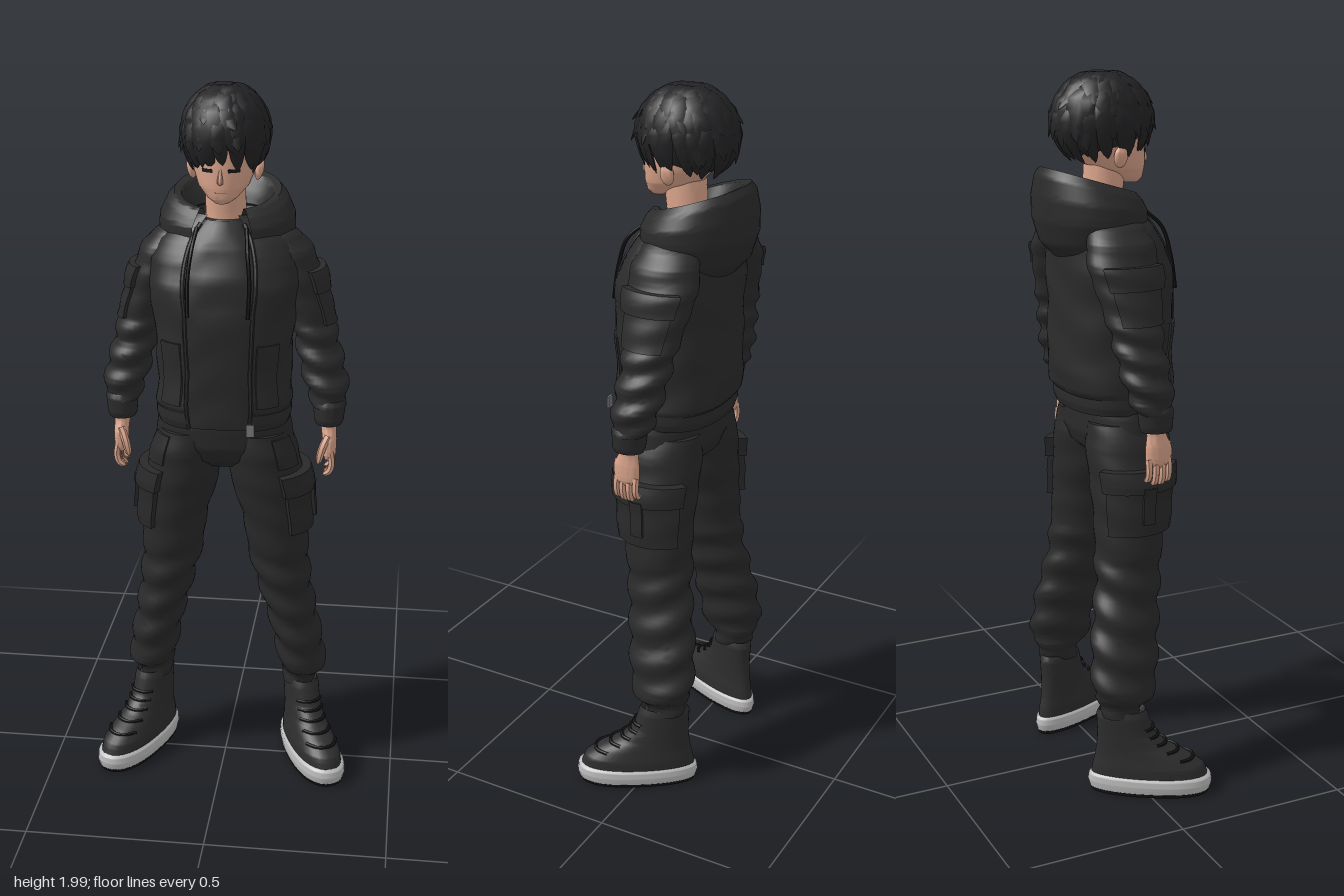
import * as THREE from 'three';
import { mergeGeometries, toCreasedNormals } from 'three/addons/utils/BufferGeometryUtils.js';

const V = (x, y, z) => new THREE.Vector3(x, y, z);
const rad = THREE.MathUtils.degToRad;
const mat = (name, color, side = THREE.FrontSide) => {
  const m = new THREE.MeshStandardMaterial({ color, side });
  m.name = name;
  return m;
};

// Indexed grid of points f(i, j); j runs around, i runs upward
function grid(nu, nv, closed, f) {
  const pos = [], idx = [], cols = closed ? nv : nv + 1;
  for (let i = 0; i <= nu; i++)
    for (let j = 0; j < cols; j++) pos.push(...f(i, j).toArray());
  for (let i = 0; i < nu; i++)
    for (let j = 0; j < nv; j++) {
      const k = (j + 1) % cols, a = i * cols + j, b = i * cols + k;
      idx.push(a, a + cols, b, b, a + cols, b + cols);
    }
  const g = new THREE.BufferGeometry();
  g.setAttribute('position', new THREE.Float32BufferAttribute(pos, 3));
  g.setIndex(idx);
  return g;
}

// Body surface from rows [y, cx, cz, rx, rz, tilt]; fold(y, a) adds cloth folds
function surface(rows, { p = 1, fold = () => 0 } = {}) {
  const pw = (v) => Math.sign(v) * Math.abs(v) ** p;
  const s = (u, a, off = 0) => {
    const i = Math.max(0, Math.min(rows.length - 2, Math.floor(u)));
    const [y, cx, cz, rx, rz, tilt] = [0, 1, 2, 3, 4, 5].map((k) =>
      THREE.MathUtils.lerp(rows[i][k] ?? 0, rows[i + 1][k] ?? 0, u - i));
    const o = off === null ? 0 : off + fold(y, a), on = off === null ? 0 : 1;
    const dz = on * (rz + o) * pw(Math.sin(a));
    return V(cx + on * (rx + o) * pw(Math.cos(a)), y + tilt * dz, cz + dz);
  };
  s.n = rows.length - 1;
  s.at = (y) => {
    let i = 0;
    while (i < s.n - 1 && rows[i + 1][0] < y) i++;
    return i + (y - rows[i][0]) / (rows[i + 1][0] - rows[i][0]);
  };
  return s;
}
// Closed, capped loft
function loft(s, seg = 32, per = 6) {
  const n = s.n * per;
  return grid(n + 2, seg, true, (i, j) => {
    const cap = i === 0 || i === n + 2;
    return s(Math.min(n, Math.max(0, i - 1)) / per, (j / seg) * Math.PI * 2, cap ? null : 0);
  });
}
// Loft left open around the front by a half-gap in degrees
function openLoft(s, gap, seg = 44, per = 6) {
  const a0 = rad(90 + gap), span = rad(360 - 2 * gap);
  return grid(s.n * per, seg, false, (i, j) => s(i / per, a0 + (span * j) / seg));
}
// Raised panel following a surface, between heights and angles
function panel(s, y0, y1, a0, a1, h, n = 8) {
  const c = (k) => Math.min(n, Math.max(0, k - 1)) / n;
  return grid(n + 2, n + 2, false, (i, j) => {
    const edge = i === 0 || j === 0 || i === n + 2 || j === n + 2;
    return s(s.at(y0 + (y1 - y0) * c(i)), rad(a0 + (a1 - a0) * c(j)), edge ? -0.008 : h);
  });
}
// Tapered strand along a path, flattened towards a centre
function strand(pts, w, th, prof, centre) {
  const curve = new THREE.CatmullRomCurve3(pts);
  return grid(9, 6, true, (i, j) => {
    const t = i / 9, P = curve.getPoint(t), T = curve.getTangent(t);
    const B = T.clone().cross(P.clone().sub(centre)).normalize();
    const O = B.clone().cross(T), a = (j / 6) * Math.PI * 2, k = prof(t);
    return P.addScaledVector(B, Math.cos(a) * w * k).addScaledVector(O, Math.sin(a) * th * k);
  });
}
const tube = (pts, r) => new THREE.TubeGeometry(new THREE.CatmullRomCurve3(pts), 24, r, 6);

function mirrored(g) {
  const m = g.clone().applyMatrix4(new THREE.Matrix4().makeScale(-1, 1, 1));
  const x = m.index.array;
  for (let i = 0; i < x.length; i += 3) [x[i], x[i + 1]] = [x[i + 1], x[i]];
  return m;
}

export function createModel() {
  const root = new THREE.Group();
  root.name = 'standingFigure';
  const jacketMat = mat('jacketCloth', 0x2b2b2c, THREE.DoubleSide);
  const shirtMat = mat('shirtCloth', 0x2a2a2b), pantsMat = mat('trouserCloth', 0x292929);
  const hairMat = mat('hair', 0x232325), skinMat = mat('skin', 0xdba58c);
  const bootMat = mat('bootLeather', 0x2d2d2d), soleMat = mat('paleSole', 0xbcbcbc);
  const darkMat = mat('black', 0x161616), lipMat = mat('lip', 0xb87768), metalMat = mat('metal', 0x77777a);

  const add = (name, g, m) => {
    const mesh = new THREE.Mesh(toCreasedNormals(g, 0.9), m);
    mesh.name = name;
    root.add(mesh);
  };
  const pair = (name, g, m) => {
    add('left' + name, g, m);
    add('right' + name, mirrored(g), m);
  };

  // Jacket with open front, shirt beneath
  const jacket = surface([
    [1.09, 0, 0.022, 0.178, 0.14], [1.13, 0, 0.022, 0.185, 0.146], [1.145, 0, 0.018, 0.19, 0.155],
    [1.2, 0, 0.012, 0.184, 0.158], [1.3, 0, 0.014, 0.186, 0.157], [1.4, 0, 0.016, 0.196, 0.158],
    [1.48, 0, 0.01, 0.208, 0.153], [1.54, 0, 0, 0.205, 0.14], [1.59, 0, -0.012, 0.18, 0.122],
    [1.63, 0, -0.02, 0.14, 0.1], [1.66, 0, -0.02, 0.09, 0.085],
  ], { p: 0.82, fold: (y, a) => (y > 1.14 && y < 1.55 ? 0.0025 * Math.sin(y * 42 + 3 * Math.sin(2 * a)) : 0) });
  add('jacketBody', openLoft(jacket, 22), jacketMat);
  const edge = Array.from({ length: 17 }, (_, i) => jacket((i / 16) * 9.3, rad(67)));
  pair('JacketFrontEdge', tube(edge, 0.006), jacketMat);
  pair('JacketPocket', panel(jacket, 1.155, 1.33, 38, 62, 0.005), jacketMat);
  add('jacketHem', openLoft(surface([[1.088, 0, 0.022, 0.18, 0.142], [1.11, 0, 0.022, 0.187, 0.149],
    [1.135, 0, 0.022, 0.187, 0.149], [1.14, 0, 0.022, 0.18, 0.142]], { p: 0.82 }), 23), jacketMat);
  add('shirt', loft(surface([
    [1.085, 0, 0.018, 0.165, 0.125], [1.2, 0, 0.012, 0.168, 0.136], [1.4, 0, 0.014, 0.175, 0.142],
    [1.5, 0, 0.008, 0.17, 0.132], [1.58, 0, 0, 0.13, 0.108], [1.635, 0, -0.005, 0.075, 0.078],
    [1.645, 0, -0.005, 0.066, 0.07],
  ], { p: 0.85, fold: (y, a) => 0.002 * Math.sin(y * 50 + 4 * Math.sin(a * 3)) })), shirtMat);
  add('zipPull', new THREE.BoxGeometry(0.022, 0.034, 0.007).translate(0.09, 1.105, 0.192), metalMat);

  // Hood lying on the shoulders, with drawstrings
  add('hood', openLoft(surface([
    [1.52, 0, -0.03, 0.15, 0.108, 0.15], [1.56, 0, -0.036, 0.168, 0.142, 0.1],
    [1.61, 0, -0.045, 0.186, 0.152, 0], [1.65, 0, -0.046, 0.184, 0.152, -0.15],
    [1.69, 0, -0.048, 0.164, 0.142, -0.27], [1.71, 0, -0.05, 0.145, 0.126, -0.3],
    [1.705, 0, -0.046, 0.126, 0.106, -0.3], [1.67, 0, -0.035, 0.11, 0.09, -0.2], [1.61, 0, -0.02, 0.09, 0.075, 0],
  ]), 25), jacketMat);
  pair('Drawstring', tube([V(0.066, 1.63, 0.085), V(0.074, 1.58, 0.138), V(0.082, 1.5, 0.162), V(0.08, 1.41, 0.178)], 0.0055), darkMat);

  // Sleeves, cuffs and sleeve pockets
  const sleeve = surface([
    [1.125, 0.291, 0.012, 0.042, 0.046], [1.15, 0.287, 0.004, 0.053, 0.058], [1.2, 0.278, -0.005, 0.06, 0.065],
    [1.26, 0.263, -0.014, 0.06, 0.068], [1.32, 0.248, -0.022, 0.06, 0.07], [1.4, 0.224, -0.03, 0.06, 0.08],
    [1.5, 0.192, -0.035, 0.066, 0.1], [1.56, 0.168, -0.034, 0.066, 0.095], [1.6, 0.14, -0.03, 0.06, 0.078],
    [1.63, 0.11, -0.03, 0.045, 0.05],
  ], { fold: (y, a) => (y < 1.36 ? 0.006 : 0.002) * Math.sin(y * 85 + 1.8 * Math.sin(a + 0.6)) });
  pair('Sleeve', loft(sleeve, 32, 8), jacketMat);
  pair('Cuff', loft(surface([[1.075, 0.29, 0.014, 0.036, 0.042], [1.085, 0.29, 0.014, 0.041, 0.046],
    [1.135, 0.291, 0.01, 0.045, 0.05], [1.145, 0.29, 0.01, 0.04, 0.045]])), jacketMat);
  pair('SleevePocket', panel(sleeve, 1.36, 1.47, -42, 50, 0.011), jacketMat);
  pair('SleevePocketFlap', panel(sleeve, 1.45, 1.51, -46, 54, 0.017), jacketMat);

  // Hands with curled fingers
  pair('Palm', loft(surface([[0.975, 0.293, 0.02, 0.013, 0.03], [0.99, 0.294, 0.02, 0.019, 0.037],
    [1.03, 0.294, 0.02, 0.02, 0.038], [1.06, 0.291, 0.016, 0.021, 0.028], [1.09, 0.29, 0.014, 0.024, 0.026]])), skinMat);
  const round = (t) => Math.sqrt(Math.max(0, 1 - t ** 6));
  const fingers = [-0.011, 0.009, 0.029, 0.047].map((z, i) => {
    const d = [0.01, 0, 0, 0.006][i];
    return strand([V(0.298, 1.0, z), V(0.303, 0.965, z), V(0.295, 0.935 + d, z), V(0.277, 0.925 + d, z)], 0.01, 0.01, round, V(0.2, 0.97, z));
  });
  fingers.push(strand([V(0.29, 1.045, 0.045), V(0.275, 1.01, 0.06), V(0.265, 0.965, 0.062)], 0.011, 0.011, round, V(0.2, 1, 0)));
  pair('Fingers', mergeGeometries(fingers), skinMat);

  // Trousers with cargo pockets
  add('trouserSeat', loft(surface([[0.955, 0, 0.012, 0.1, 0.07], [0.98, 0, 0.014, 0.165, 0.1],
    [1.02, 0, 0.017, 0.196, 0.117], [1.08, 0, 0.02, 0.188, 0.118], [1.13, 0, 0.02, 0.17, 0.115]])), pantsMat);
  const leg = surface([
    [0.235, 0.22, -0.05, 0.046, 0.056], [0.265, 0.222, -0.048, 0.05, 0.06], [0.29, 0.224, -0.046, 0.066, 0.084],
    [0.33, 0.222, -0.043, 0.069, 0.094], [0.42, 0.205, -0.035, 0.069, 0.098], [0.5, 0.188, -0.024, 0.071, 0.096],
    [0.6, 0.166, -0.008, 0.078, 0.092], [0.7, 0.152, 0.002, 0.088, 0.095], [0.8, 0.142, 0.008, 0.092, 0.101],
    [0.9, 0.124, 0.014, 0.106, 0.11], [1.0, 0.106, 0.017, 0.1, 0.118], [1.06, 0.098, 0.02, 0.085, 0.11],
  ], { fold: (y, a) => (y < 0.68 ? 0.006 : 0.0015) * Math.sin(y * 62 + 2.2 * Math.sin(a + 0.8)) });
  pair('TrouserLeg', loft(leg, 36, 8), pantsMat);
  pair('CargoPocket', panel(leg, 0.765, 0.92, -54, 60, 0.019), pantsMat);
  pair('CargoPocketFlap', panel(leg, 0.885, 0.945, -58, 64, 0.026), pantsMat);
  pair('CargoPocketStrap', panel(leg, 0.8, 0.9, -6, 10, 0.028), pantsMat);
  pair('HipPocket', panel(leg, 0.965, 1.05, 22, 62, 0.006), pantsMat);

  // High boots turned outward on pale soles
  const place = (g) => {
    const p = g.attributes.position;
    for (let i = 0; i < p.count; i++) p.setX(i, p.getX(i) * (0.96 + 1.1 * p.getZ(i)));
    return g.rotateY(rad(27)).translate(0.257, 0, 0.022);
  };
  const upper = surface([[0.045, 0, 0, 0.063, 0.168], [0.08, 0, -0.004, 0.063, 0.159], [0.11, 0, -0.022, 0.057, 0.134],
    [0.14, 0, -0.05, 0.053, 0.102], [0.18, 0, -0.07, 0.052, 0.08], [0.235, 0, -0.08, 0.053, 0.073],
    [0.25, 0, -0.08, 0.048, 0.066], [0.235, 0, -0.08, 0.042, 0.056]], { p: 0.92 });
  pair('BootUpper', place(loft(upper)), bootMat);
  pair('BootSole', place(loft(surface([[0.01, 0, 0, 0.067, 0.171], [0.03, 0, 0, 0.071, 0.177],
    [0.05, 0, 0, 0.069, 0.174], [0.055, 0, 0, 0.064, 0.168]], { p: 0.88 }))), soleMat);
  pair('BootTread', place(loft(surface([[0, 0, 0, 0.064, 0.167], [0.011, 0, 0, 0.068, 0.172]], { p: 0.88 }))), darkMat);
  const laces = [0.105, 0.128, 0.15, 0.172, 0.195].map((y) =>
    tube([45, 70, 90, 110, 135].map((a) => upper(upper.at(y), rad(a), 0.003)), 0.005));
  pair('BootLaces', place(mergeGeometries(laces)), darkMat);

  // Head, neck and face
  const head = surface([[1.697, 0, 0.078, 0.018, 0.022], [1.71, 0, 0.062, 0.04, 0.048], [1.74, 0, 0.035, 0.068, 0.079],
    [1.78, 0, 0.014, 0.083, 0.1], [1.82, 0, 0, 0.09, 0.114], [1.88, 0, -0.005, 0.09, 0.116],
    [1.94, 0, -0.005, 0.068, 0.085], [1.965, 0, -0.005, 0.03, 0.04]]);
  add('head', loft(head), skinMat);
  add('neck', loft(surface([[1.59, 0, -0.015, 0.066, 0.062], [1.65, 0, -0.008, 0.055, 0.055], [1.75, 0, 0, 0.054, 0.058]])), skinMat);
  add('nose', strand([V(0, 1.79, 0.112), V(0, 1.768, 0.119), V(0, 1.75, 0.118)], 0.011, 0.012, (t) => 0.25 + 0.75 * t * round(t), V(0, 1.77, 0)), skinMat);
  pair('Ear', new THREE.SphereGeometry(1, 12, 10).scale(0.012, 0.03, 0.02).rotateZ(-0.2).translate(0.091, 1.775, 0.005), skinMat);
  pair('Eye', panel(head, 1.781, 1.79, 54, 76, 0.0015, 4), darkMat);
  add('mouth', panel(head, 1.7265, 1.7295, 74, 106, 0.001, 4), lipMat);

  // Hair: cap and layered pointed locks
  const C = V(0, 1.867, -0.008);
  add('hairCap', new THREE.SphereGeometry(1, 28, 20).scale(0.106, 0.114, 0.125).translate(...C.toArray()), hairMat);
  let seed = 7;
  const rnd = () => (seed = (seed * 16807) % 2147483647) / 2147483647 - 0.5;
  const on = (az, el, s) => V(Math.cos(el) * Math.sin(az) * 0.108 * s, Math.sin(el) * 0.118 * s, Math.cos(el) * Math.cos(az) * 0.13 * s).add(C);
  const taper = (t) => Math.sin(Math.PI * Math.min(1, 0.15 + 0.85 * t ** 0.8)) ** 0.7 * (1 - 0.2 * t);
  const locks = [];
  // each layer: count, root and tip elevation, tip spread, width
  for (const [n, e0, e1, spread, w] of [[22, 40, -38, 1.13, 0.027], [19, 62, -12, 1.17, 0.03], [15, 78, 14, 1.14, 0.032], [9, 88, 42, 1.07, 0.03]])
    for (let k = 0; k < n; k++) {
      const az = ((k + rnd() * 0.5) / n) * Math.PI * 2, back = (1 - Math.cos(az)) / 2;
      const tip = rad(e1 - (e1 < 0 ? 16 * back : 0) + rnd() * 16), r0 = rad(e0), sw = 0.22 + rnd() * 0.4;
      locks.push(strand([on(az, r0, 0.98), on(az + sw * 0.3, r0 * 0.6 + tip * 0.4, 1.05),
        on(az + sw * 0.7, r0 * 0.2 + tip * 0.8, 1.06), on(az + sw, tip, spread + rnd() * 0.12)], w, 0.011, taper, C));
    }
  add('hairLocks', mergeGeometries(locks), hairMat);

  return root;
}
